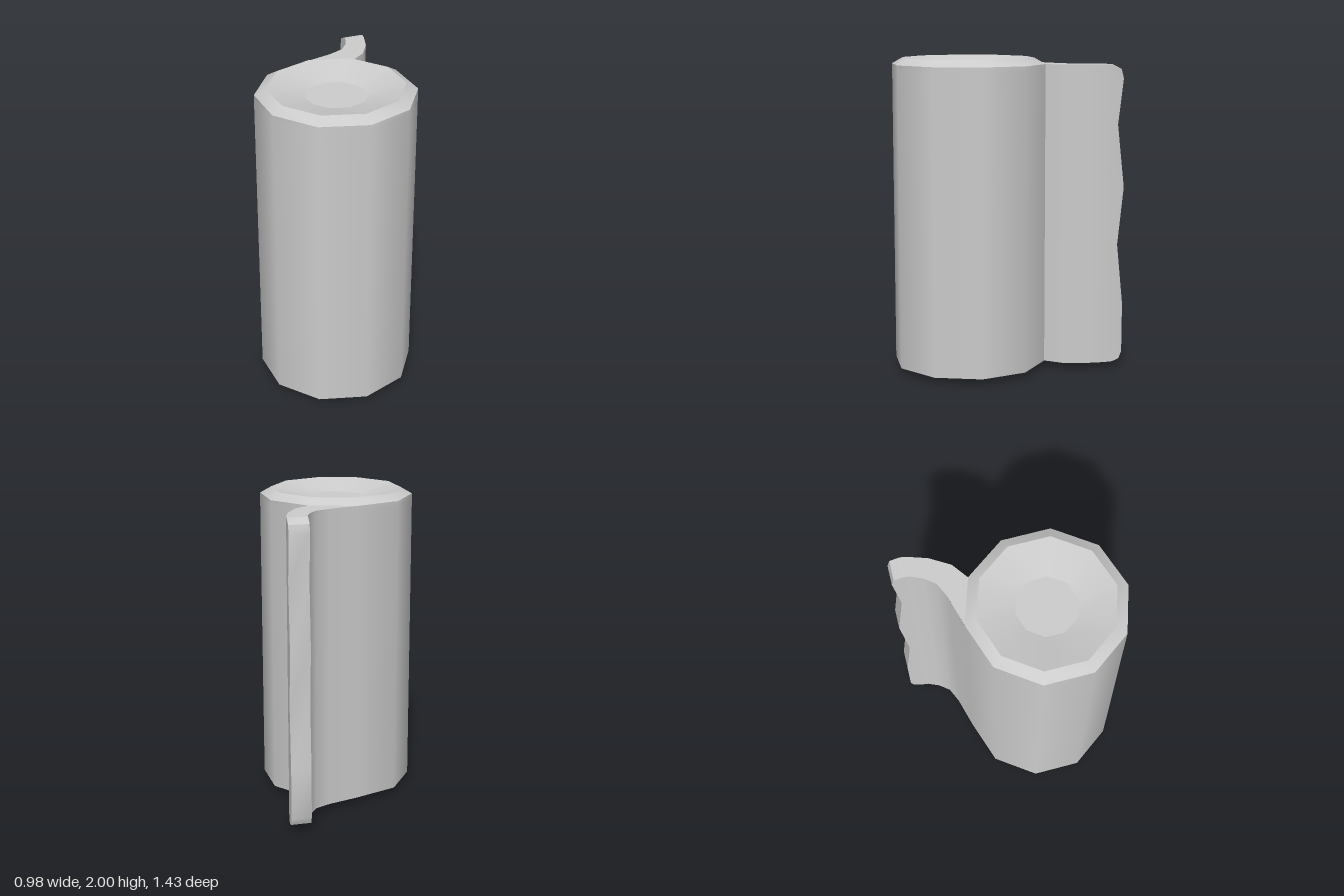
import * as THREE from 'three';
import { mergeGeometries, toCreasedNormals } from 'three/addons/utils/BufferGeometryUtils.js';

const SIDES = 10, RADIUS = 0.49, CENTER_Z = 0.245;
const CREASE = THREE.MathUtils.degToRad(40);

// Plan of the loose flap as [x, z], from the roll outward on each side
const FLAP_LEFT = [[-0.151, -0.221], [0.02, -0.33], [0.1, -0.4], [0.13, -0.48], [0.138, -0.56]];
const FLAP_RIGHT = [[0.151, -0.221], [0.187, -0.27], [0.225, -0.32], [0.26, -0.46], [0.262, -0.59]];

// Wavy free edge of the flap as [y, z]
const EDGE = [[0.04, -0.65], [0.055, -0.695], [0.1, -0.715], [0.42, -0.716], [0.81, -0.675],
  [1.18, -0.716], [1.58, -0.67], [1.87, -0.706], [1.93, -0.69], [1.96, -0.63]];

// Left and right rows of plan points at one height
function flapSides(edgeZ) {
  const t = (-0.6 - edgeZ) / 0.116;
  return {
    left: [...FLAP_LEFT, [0.138 - 0.022 * t, edgeZ + 0.036]],
    right: [...FLAP_RIGHT, [0.262 - 0.024 * t, edgeZ]],
  };
}

// Roll outline running on into the flap and back
function outline(edgeZ) {
  const { left, right } = flapSides(edgeZ);
  const loop = [];
  for (let i = 0; i < SIDES; i++) {
    const a = (i - 2) * Math.PI * 2 / SIDES;
    loop.push([RADIUS * Math.cos(a), CENTER_Z + RADIUS * Math.sin(a)]);
  }
  return [...loop, ...left.slice(1), ...right.slice(1).reverse()];
}

function sheetGeometry() {
  const pos = [];
  const tri = (...points) => points.forEach((p) => pos.push(...p));
  const at = ([x, z], y) => [x, y, z];

  // Upright walls
  for (let r = 0; r < EDGE.length - 1; r++) {
    const [y0, z0] = EDGE[r], [y1, z1] = EDGE[r + 1];
    const low = outline(z0), high = outline(z1);
    for (let i = 0; i < low.length; i++) {
      const j = (i + 1) % low.length;
      const a = at(low[i], y0), b = at(low[j], y0), c = at(high[i], y1), d = at(high[j], y1);
      tri(a, c, b);
      tri(b, c, d);
    }
  }

  // Top and bottom of the flap
  for (const [y, z] of [EDGE[0], EDGE[EDGE.length - 1]]) {
    const { left, right } = flapSides(z);
    for (let i = 0; i < left.length - 1; i++) {
      const l = at(left[i], y), r = at(right[i], y), l2 = at(left[i + 1], y), r2 = at(right[i + 1], y);
      if (y > 1) { tri(l, r, r2); tri(l, r2, l2); }
      else { tri(l, r2, r); tri(l, l2, r2); }
    }
  }
  const g = new THREE.BufferGeometry();
  g.setAttribute('position', new THREE.Float32BufferAttribute(pos, 3));
  return toCreasedNormals(g, CREASE);
}

// Faceted ring or disc turned around the roll axis
function turned(profile) {
  const points = profile.map(([r, y]) => new THREE.Vector2(r, y));
  const g = new THREE.LatheGeometry(points, SIDES, Math.PI / 2);
  g.translate(0, 0, CENTER_Z);
  return toCreasedNormals(g, CREASE);
}

export function createModel() {
  const group = new THREE.Group();
  group.name = 'scroll';
  const material = new THREE.MeshStandardMaterial({ color: 0xcccccc });
  const add = (name, geometry) => {
    const mesh = new THREE.Mesh(geometry, material);
    mesh.name = name;
    group.add(mesh);
  };

  add('rolledSheet', sheetGeometry());

  // Bevelled rim with a dished middle
  add('topEnd', mergeGeometries([
    turned([[RADIUS, 1.96], [0.42, 2]]),
    turned([[0.42, 2], [0.19, 1.94]]),
    turned([[0.19, 1.94], [0, 1.94]]),
  ]));
  add('bottomEnd', mergeGeometries([
    turned([[0, 0.025], [0.18, 0.025]]),
    turned([[0.18, 0.025], [0.34, 0]]),
    turned([[0.34, 0], [RADIUS, 0.04]]),
  ]));
  return group;
}
